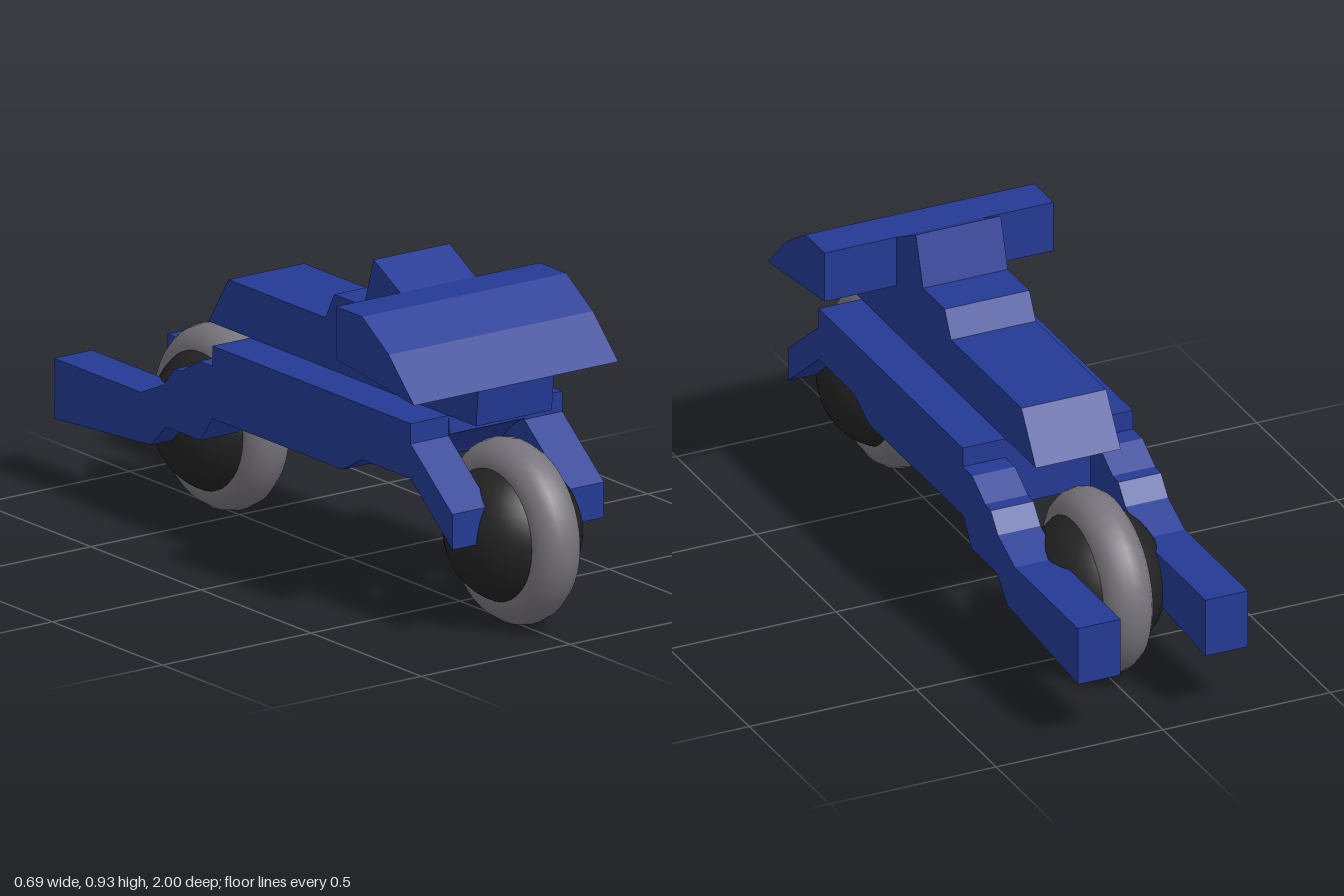
import * as THREE from 'three';

const blue = new THREE.MeshStandardMaterial({ name: 'bluePaint', color: 0x243a94 });
const grey = new THREE.MeshStandardMaterial({ name: 'tyreGrey', color: 0x77747b });
const black = new THREE.MeshStandardMaterial({ name: 'hubBlack', color: 0x222222 });

// Extrudes a side profile of [z, y] points between two x positions.
function profilePart(name, points, x0, x1) {
  const shape = new THREE.Shape(points.map(([z, y]) => new THREE.Vector2(z, y)));
  const geo = new THREE.ExtrudeGeometry(shape, { depth: x1 - x0, bevelEnabled: false });
  geo.rotateY(-Math.PI / 2);
  geo.translate(x1, 0, 0);
  const mesh = new THREE.Mesh(geo, blue);
  mesh.name = name;
  return mesh;
}

// Round tyre with a bulging hub on both sides.
function wheel(name, z, hubRadius) {
  const group = new THREE.Group();
  group.name = name;
  const tyre = new THREE.Mesh(new THREE.TorusGeometry(0.187, 0.072, 16, 40), grey);
  tyre.name = 'tyre';
  tyre.rotation.y = Math.PI / 2;
  const hub = new THREE.Mesh(new THREE.SphereGeometry(1, 28, 20), black);
  hub.name = 'hub';
  hub.scale.set(0.185, hubRadius, hubRadius);
  group.add(tyre, hub);
  group.position.set(-0.002, 0.263, z);
  return group;
}

export function createModel() {
  const model = new THREE.Group();
  model.name = 'motorbike';

  // Seat, tank and windscreen along the middle
  model.add(profilePart('upperBody', [
    [0.745, 0.58], [0.755, 0.68], [0.4, 0.725], [0.4, 0.873], [0.28, 0.937], [0.235, 0.795],
    [0.1, 0.795], [0.06, 0.72], [-0.38, 0.72], [-0.47, 0.58],
  ], -0.127, 0.127));

  // Wide wedge at the front
  model.add(profilePart('frontFairing', [
    [0.755, 0.68], [0.64, 0.795], [0.52, 0.873], [0.4, 0.873], [0.4, 0.725],
  ], -0.343, 0.343));

  // Middle of the lower body, arched over the front wheel
  const arch = [];
  for (let i = 0; i <= 8; i++) {
    const a = THREE.MathUtils.lerp(1.99, 2.55, i / 8);
    arch.push([0.742 + 0.29 * Math.cos(a), 0.263 + 0.29 * Math.sin(a)]);
  }
  model.add(profilePart('lowerBody', [
    [0.62, 0.58], ...arch, [0.4, 0.425], [0.31, 0.375], [-0.28, 0.375], [-0.28, 0.58],
  ], -0.127, 0.127));

  // Side rails with front fork and tail boom, one on each side
  const rail = [
    [0.62, 0.58], [0.62, 0.523], [0.81, 0.37], [0.81, 0.27], [0.62, 0.425], [0.4, 0.425],
    [0.31, 0.375], [-0.28, 0.375], [-0.335, 0.3], [-0.49, 0.3], [-0.56, 0.232], [-1, 0.2],
    [-1, 0.37], [-0.605, 0.37], [-0.5, 0.418], [-0.455, 0.472], [-0.42, 0.475],
    [-0.34, 0.523], [-0.28, 0.523], [-0.28, 0.58],
  ];
  model.add(profilePart('leftRail', rail, 0.127, 0.255));
  model.add(profilePart('rightRail', rail, -0.255, -0.127));

  model.add(wheel('frontWheel', 0.742, 0.2));
  model.add(wheel('rearWheel', -0.58, 0.21));
  return model;
}
